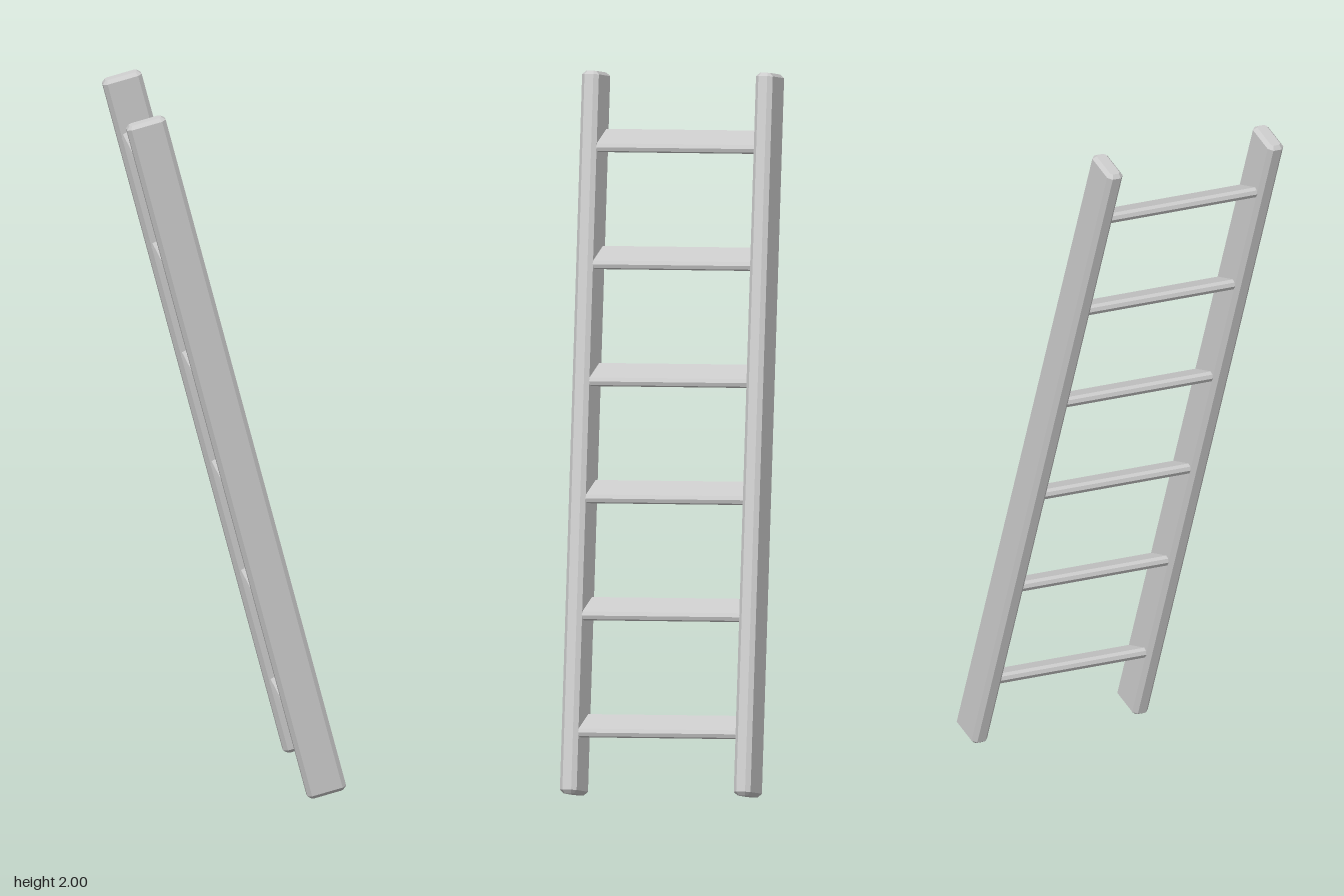
import * as THREE from 'three';

const material = new THREE.MeshStandardMaterial({ color: 0xcccccc, flatShading: true });

// Bar along z with every edge chamfered by c
function chamferedBar(width, height, length, c) {
  const x = width / 2 - c, y = height / 2 - c; // extrude bevel grows the outline by c
  const k = c * 0.6;
  const shape = new THREE.Shape([
    [x, -y + k], [x, y - k], [x - k, y], [-x + k, y],
    [-x, y - k], [-x, -y + k], [-x + k, -y], [x - k, -y],
  ].map(([a, b]) => new THREE.Vector2(a, b)));
  const geometry = new THREE.ExtrudeGeometry(shape, {
    depth: length - 2 * c, bevelEnabled: true, bevelSegments: 1, bevelSize: c, bevelThickness: c,
  });
  geometry.translate(0, 0, -(length - 2 * c) / 2);
  return geometry;
}

export function createModel() {
  const ladder = new THREE.Group();
  ladder.name = 'ladder';

  const railSpacing = 0.518, railThick = 0.05, railWidth = 0.112, railLength = 2.013;
  const rungCount = 6, rungPitch = 0.326, rungTilt = THREE.MathUtils.degToRad(32);

  // Two side rails along local y
  const railGeometry = chamferedBar(railThick, railWidth, railLength, 0.01).rotateX(Math.PI / 2);
  for (const side of [-1, 1]) {
    const rail = new THREE.Mesh(railGeometry, material);
    rail.name = side < 0 ? 'frontRail' : 'backRail';
    rail.position.x = side * railSpacing / 2;
    ladder.add(rail);
  }

  // Flat rungs along local x, pitched so the treads slope against the lean
  const rungGeometry = chamferedBar(0.1, 0.028, railSpacing - 0.01, 0.007).rotateY(Math.PI / 2);
  for (let i = 0; i < rungCount; i++) {
    const rung = new THREE.Mesh(rungGeometry, material);
    rung.name = 'rung' + (i + 1);
    rung.position.y = (i - (rungCount - 1) / 2) * rungPitch;
    rung.rotation.x = rungTilt;
    ladder.add(rung);
  }

  // Lean and turn the whole ladder
  const up = new THREE.Vector3(-0.261, 0.963, -0.072).normalize();
  const depth = new THREE.Vector3(0.492, 0.068, -0.868).cross(up).normalize();
  const across = new THREE.Vector3().crossVectors(up, depth);
  ladder.quaternion.setFromRotationMatrix(new THREE.Matrix4().makeBasis(across, up, depth));
  ladder.position.y = 1;

  const model = new THREE.Group();
  model.name = 'leaningLadder';
  model.add(ladder);
  return model;
}
